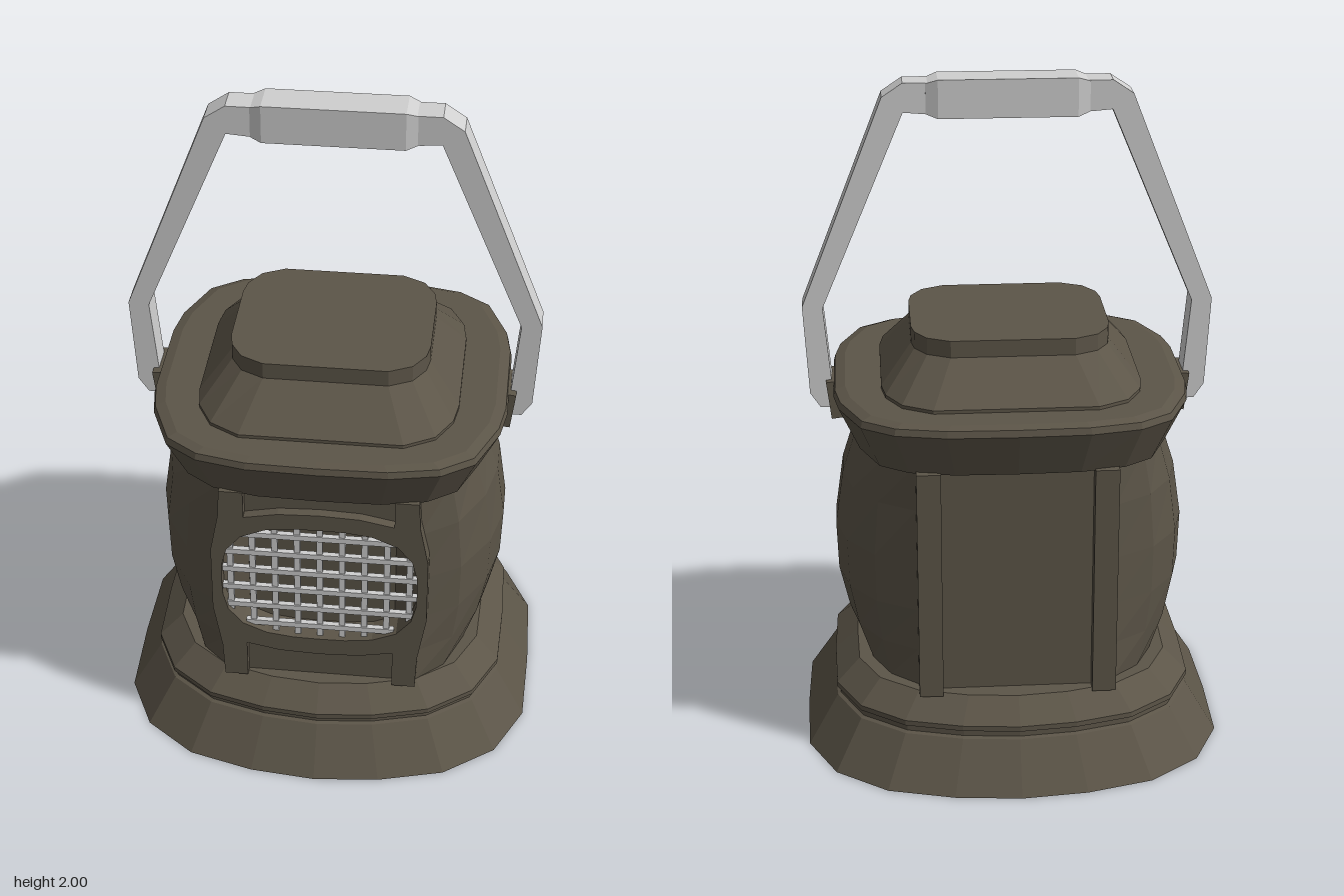
import * as THREE from 'three';

const iron = new THREE.MeshStandardMaterial({ color: 0x5c5548, flatShading: true });
iron.name = 'dark iron';
const steel = new THREE.MeshStandardMaterial({ color: 0xd0d0d0, flatShading: true });
steel.name = 'light steel';

// Completes a right-hand outline (front to back) with its mirror image
const mirrorX = half => [...half, ...half.slice(1, -1).reverse().map(([x, z]) => [-x, z])];

// Completes a quarter outline (front to side) to a full ring
const mirrorXZ = q => mirrorX([...q, ...q.slice(0, -1).reverse().map(([x, z]) => [x, -z])]);

// Closed skin through rings of [x, y, z] points, capped at both ends
function loft(rings) {
  const pos = [];
  const n = rings[0].length;
  const tri = (...pts) => pts.forEach(p => pos.push(...p));
  const centre = r => [0, r[0][1], r.reduce((s, p) => s + p[2], 0) / n];
  const bottom = rings[0], top = rings[rings.length - 1];
  for (let j = 0; j < n; j++) {
    const k = (j + 1) % n;
    for (let i = 0; i < rings.length - 1; i++) {
      const a = rings[i], b = rings[i + 1];
      tri(a[j], a[k], b[k]);
      tri(a[j], b[k], b[j]);
    }
    tri(centre(bottom), bottom[k], bottom[j]);
    tri(centre(top), top[j], top[k]);
  }
  const g = new THREE.BufferGeometry();
  g.setAttribute('position', new THREE.Float32BufferAttribute(pos, 3));
  g.computeVertexNormals();
  return g;
}

// Loft of one unit outline scaled at levels [y, half width, half depth]
const stack = (outline, levels, dz = 0) =>
  loft(levels.map(([y, sx, sz]) => outline.map(([x, z]) => [x * sx, y, z * sz + dz])));

// Flat plate cut from an outline, from z0 to z1
function plate(points, z0, z1, hole) {
  const shape = new THREE.Shape(points.map(([x, y]) => new THREE.Vector2(x, y)));
  if (hole) shape.holes.push(new THREE.Path(hole.map(([x, y]) => new THREE.Vector2(x, y))));
  const g = new THREE.ExtrudeGeometry(shape, { depth: z1 - z0, bevelEnabled: false });
  return g.translate(0, 0, z0);
}

const box = (x0, x1, y0, y1, z0, z1) =>
  new THREE.BoxGeometry(x1 - x0, y1 - y0, z1 - z0)
    .translate((x0 + x1) / 2, (y0 + y1) / 2, (z0 + z1) / 2);

export function createModel() {
  const model = new THREE.Group();
  const add = (name, geometry, material = iron, parent = model) => {
    const mesh = new THREE.Mesh(geometry, material);
    mesh.name = name;
    parent.add(mesh);
    return mesh;
  };

  // Flared foot with a groove and a sloped shoulder
  const round = mirrorXZ([[0, 1], [0.31, 0.97], [0.62, 0.885], [0.86, 0.7], [0.99, 0.42], [1, 0]]);
  add('base', stack(round, [
    [0, 0.63, 0.615], [0.145, 0.54, 0.525], [0.15, 0.53, 0.515], [0.172, 0.53, 0.515],
    [0.174, 0.54, 0.53], [0.19, 0.54, 0.53], [0.255, 0.47, 0.46]]));

  // Body whose sides bulge like a barrel
  const sides = [[0.255, 0.445], [0.37, 0.49], [0.5, 0.52], [0.65, 0.525], [0.82, 0.5], [0.96, 0.455]];
  add('body', loft(sides.map(([y, w]) => {
    const a = 0.29 + 0.52 * (w - 0.29), b = 0.29 + 0.86 * (w - 0.29);
    return mirrorX([[0, 0.36], [0.22, 0.36], [0.29, 0.41], [a, 0.335], [b, 0.2], [w, 0.06], [w, -0.06],
      [b, -0.19], [a, -0.3], [0.29, -0.37], [0, -0.37]]).map(([x, z]) => [x, y, z]);
  })));

  // Front frame: two posts joined by a ring around the window
  const cy = 0.63, rx = 0.29, ry = 0.21;
  const curve = (t, r, s) => r * Math.cbrt(Math.max(0, 1 - Math.pow(Math.abs(t) / s, 3)));
  const opening = [];
  for (let i = 0; i < 24; i++) {
    const t = (i / 24) * Math.PI * 2, c = Math.cos(t), s = Math.sin(t);
    const k = Math.pow(Math.abs(c) ** 3 + Math.abs(s) ** 3, -1 / 3);
    opening.push([rx * c * k, cy + ry * s * k]);
  }
  const rightEdge = [[0, 0.36], [0.12, 0.365], [0.22, 0.385], [0.22, 0.255], [0.29, 0.255], [0.295, 0.37],
    [0.32, 0.52], [0.32, 0.74], [0.295, 0.87], [0.29, 0.96], [0.22, 0.96], [0.22, 0.87], [0.12, 0.89], [0, 0.895]];
  add('windowFrame', plate(mirrorX(rightEdge), 0.36, 0.445, opening));

  // Panels set back above and below the window ring
  add('lowerFrontPanel', box(-0.22, 0.22, 0.255, 0.4, 0.35, 0.415));
  add('upperFrontPanel', box(-0.22, 0.22, 0.86, 0.96, 0.35, 0.415));

  // Woven window grille
  const grille = new THREE.Group();
  grille.name = 'windowGrille';
  model.add(grille);
  for (let i = -4; i <= 4; i++) {
    const x = i * 0.0665, h = curve(x, ry, rx);
    add('uprightWire', box(x - 0.009, x + 0.009, cy - h, cy + h, 0.412, 0.428), steel, grille);
  }
  for (let i = 0; i < 6; i++) {
    const y = 0.458 + i * 0.0675, w = curve(y - cy, rx, ry);
    add('crossWire', box(-w, w, y - 0.009, y + 0.009, 0.415, 0.432), steel, grille);
  }

  // Back posts around a recessed panel
  for (const s of [-1, 1]) {
    const x = s * 0.255;
    add('backPost', box(x - 0.035, x + 0.035, 0.25, 0.96, -0.44, -0.35));
  }
  add('backPanel', box(-0.22, 0.22, 0.25, 0.96, -0.4, -0.35));

  // Flared collar under the lid
  const soft = mirrorXZ([[0, 1], [0.39, 0.99], [0.67, 0.93], [0.85, 0.8], [0.97, 0.5], [1, 0.3], [1, 0]]);
  add('collar', stack(soft, [
    [0.955, 0.46, 0.445], [1.09, 0.52, 0.5], [1.11, 0.515, 0.495], [1.12, 0.485, 0.475]], 0.008));

  // Sloped lid with a raised cap
  const lid = mirrorXZ([[0, 1], [0.62, 1], [0.85, 0.87], [0.97, 0.65], [1, 0.45], [1, 0]]);
  add('lid', stack(lid, [
    [1.11, 0.38, 0.385], [1.13, 0.38, 0.385], [1.24, 0.29, 0.255], [1.29, 0.29, 0.255]], 0.01));

  // Handle brackets on the collar
  for (const s of [-1, 1]) {
    const bracket = add('handleBracket', box(-0.025, 0.025, -0.058, 0.058, -0.055, 0.078));
    bracket.position.set(s * 0.51, 1.046, 0);
    bracket.rotation.z = -s * 0.12;
  }

  // Bail handle bent from a flat bar
  const outer = [[0.525, 1.015], [0.56, 1.015], [0.59, 1.06], [0.605, 1.33], [0.36, 1.95], [0.3, 1.99]];
  const inner = [[0.24, 1.9], [0.3, 1.905], [0.545, 1.325], [0.525, 1.1]];
  const flip = list => [...list].reverse().map(([x, y]) => [-x, y]);
  add('handle', plate([...outer, ...flip(outer), ...flip(inner), ...inner], -0.032, 0.052), steel);

  // Thicker grip with chamfered ends
  const gripRing = (x, y0, y1, z0, z1) => [[x, y0, z1], [x, y0, z0], [x, y1, z0], [x, y1, z1]];
  const ends = [[-0.235, 0.012], [-0.2, 0], [0.2, 0], [0.235, 0.012]];
  const gripGeo = loft(ends.map(([x, d]) =>
    gripRing(x, 1.888 + d, 2 - d, -0.046 + d, 0.063 - d).map(([px, py, pz]) => [py - 1.944, px, pz])));
  gripGeo.rotateZ(-Math.PI / 2).translate(0, 1.944, 0);
  // keep the faces pointing outward after the swap of axes
  const p = gripGeo.attributes.position;
  const v = (i) => new THREE.Vector3().fromBufferAttribute(p, i);
  const mid = new THREE.Vector3(0, 1.944, 0.0085);
  for (let i = 0; i < p.count; i += 3) {
    const a = v(i), b = v(i + 1), c = v(i + 2);
    const n = b.clone().sub(a).cross(c.clone().sub(a));
    if (n.dot(a.clone().sub(mid)) < 0) {
      p.setXYZ(i + 1, c.x, c.y, c.z);
      p.setXYZ(i + 2, b.x, b.y, b.z);
    }
  }
  gripGeo.computeVertexNormals();
  add('grip', gripGeo, steel);

  return model;
}
